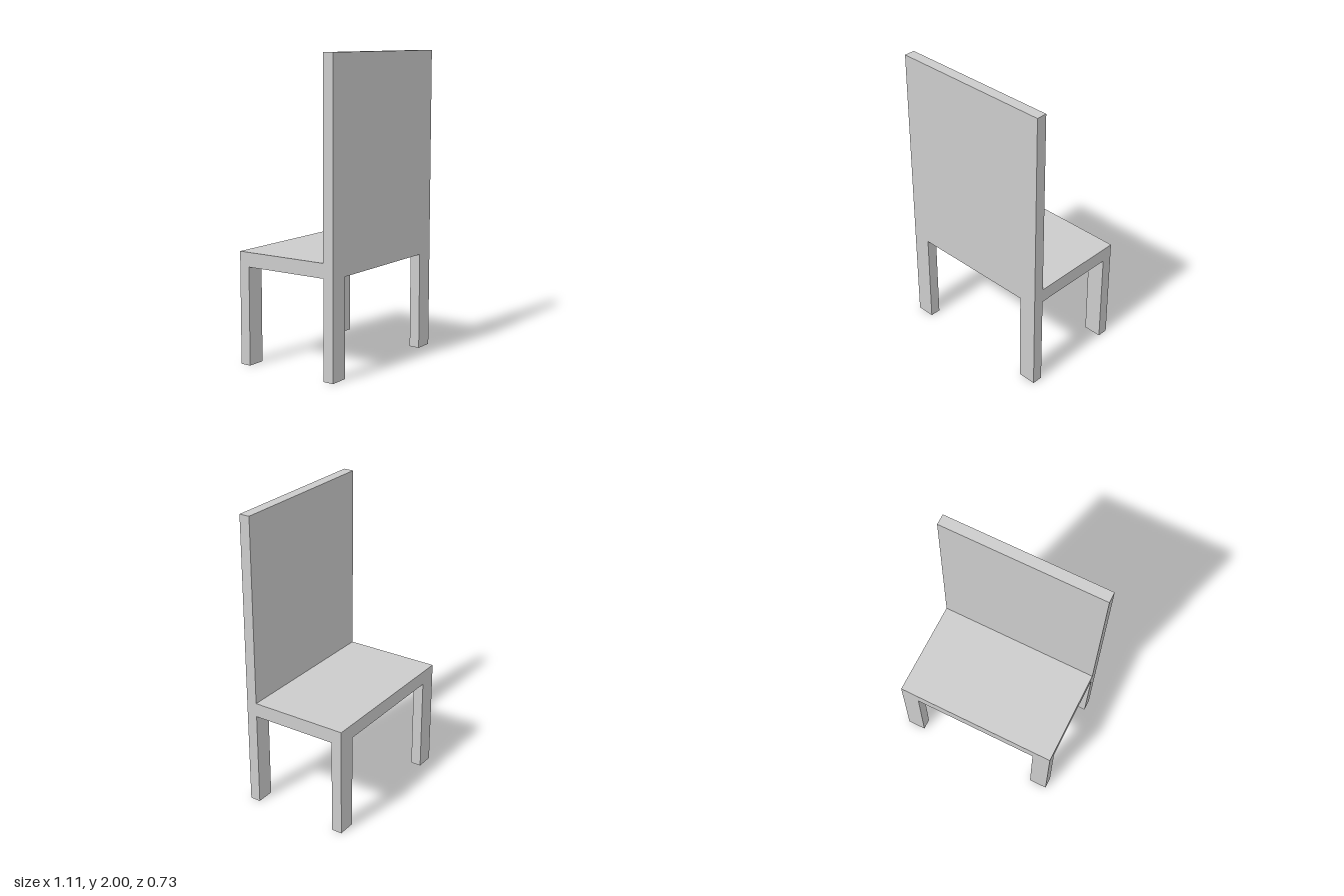
import * as THREE from 'three';

const WIDTH = 1.11, DEPTH = 0.73, THICK = 0.072;
const LEG_WIDTH = 0.124, SEAT_BOTTOM = 0.645, SEAT_TOP = 0.74, HEIGHT = 2;

export function createModel() {
  const chair = new THREE.Group();
  chair.name = 'chair';
  const material = new THREE.MeshStandardMaterial({ color: 0xcccccc, flatShading: true });

  // Box standing on height y0 and reaching y1
  function addBox(name, width, depth, y0, y1, x, z) {
    const mesh = new THREE.Mesh(new THREE.BoxGeometry(width, y1 - y0, depth), material);
    mesh.name = name;
    mesh.position.set(x, (y0 + y1) / 2, z);
    chair.add(mesh);
  }

  const legX = (WIDTH - LEG_WIDTH) / 2;
  const edgeZ = (DEPTH - THICK) / 2;

  // Seat slab, with the tall backrest along its +z edge
  addBox('seat', WIDTH, DEPTH, SEAT_BOTTOM, SEAT_TOP, 0, 0);
  addBox('backrest', WIDTH, THICK, SEAT_TOP, HEIGHT, 0, edgeZ);

  // Four legs flush with the seat corners
  for (const [side, sx] of [['left', 1], ['right', -1]]) {
    addBox(side + 'BackrestLeg', LEG_WIDTH, THICK, 0, SEAT_BOTTOM, sx * legX, edgeZ);
    addBox(side + 'SeatLeg', LEG_WIDTH, THICK, 0, SEAT_BOTTOM, sx * legX, -edgeZ);
  }
  return chair;
}
